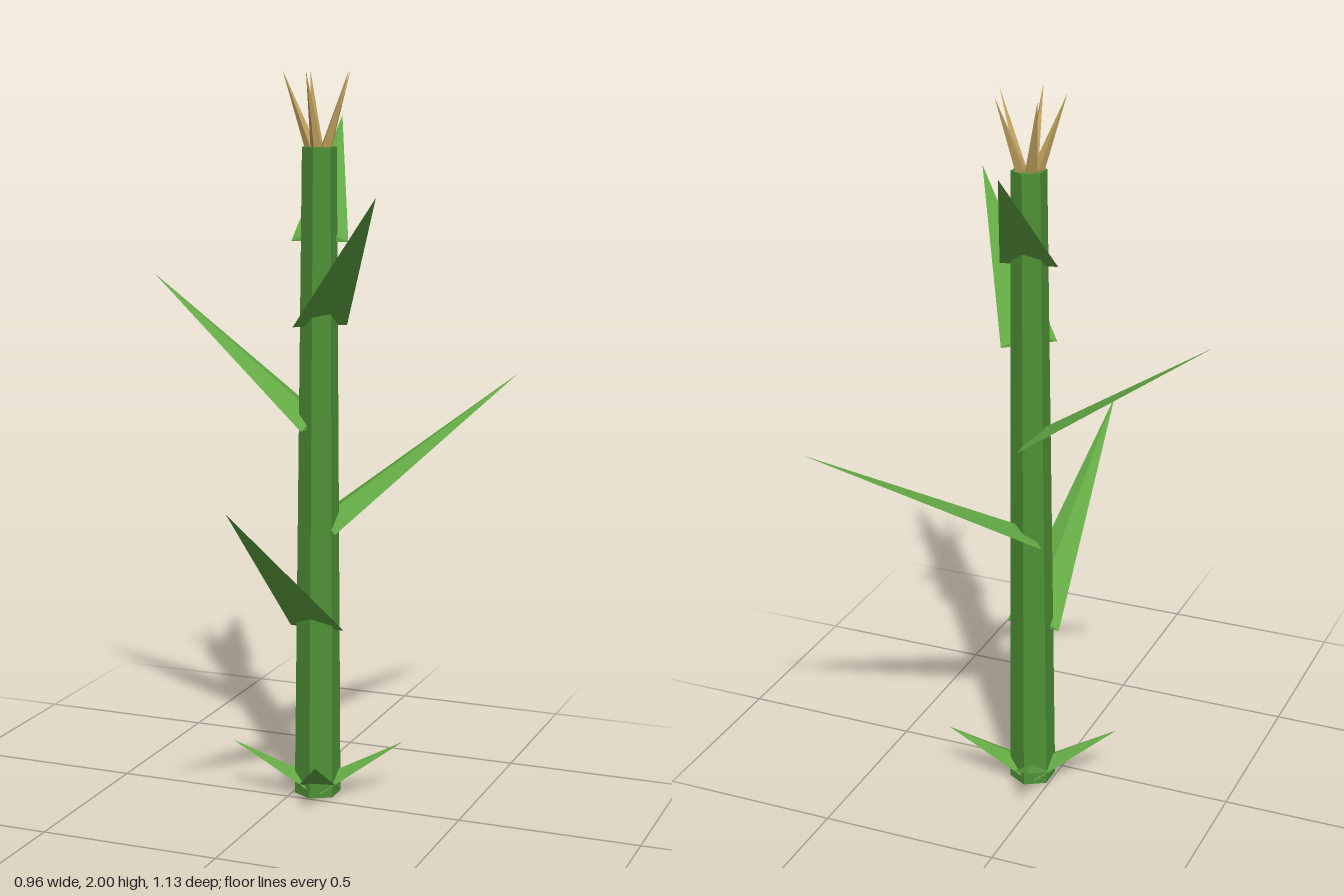
import * as THREE from 'three';

const mat = (name, color) => Object.assign(new THREE.MeshStandardMaterial({ color, flatShading: true }), { name });

// Three-sided blade: flat underside, raised ridge on top, tapering to a point.
// Local frame: base at the origin, tip at (0, rise, reach).
function bladeGeometry(halfWidth, ridge, reach, rise) {
  const left = [halfWidth, 0, 0];
  const right = [-halfWidth, 0, 0];
  const top = [0, ridge, 0];
  const tip = [0, rise, reach];
  const corners = [
    left, top, tip,    // left slope
    top, right, tip,   // right slope
    right, left, tip,  // underside
    right, top, left,  // closed base
  ];
  const geo = new THREE.BufferGeometry();
  geo.setAttribute('position', new THREE.Float32BufferAttribute(corners.flat(), 3));
  geo.computeVertexNormals();
  return geo;
}

export function createModel() {
  const stalkGreen = mat('stalk green', 0x4e9136);
  const leafGreen = mat('leaf green', 0x62a844);
  const tasselTan = mat('tassel tan', 0xc6a662);

  const model = new THREE.Group();
  model.name = 'cornStalk';
  const plant = new THREE.Group();
  plant.name = 'plant';
  plant.position.set(0.0625, 0, -0.069);
  model.add(plant);

  const add = (name, geo, material) => {
    const mesh = new THREE.Mesh(geo, material);
    mesh.name = name;
    plant.add(mesh);
    return mesh;
  };

  // Six-sided tapering stalk
  const stalk = add('stalk', new THREE.CylinderGeometry(0.047, 0.065, 1.8, 6), stalkGreen);
  stalk.position.y = 0.9;

  // Blade whose base sits near the stalk axis and whose tip is at the given offset
  const addBlade = (name, baseY, x, tipY, z, halfWidth, offset) => {
    const angle = Math.atan2(x, z);
    const reach = Math.hypot(x, z) - offset;
    const blade = add(name, bladeGeometry(halfWidth, 0.032, reach, tipY - baseY), leafGreen);
    blade.rotation.y = angle;
    blade.position.set(Math.sin(angle) * offset, baseY, Math.cos(angle) * offset);
  };

  // Long leaves spiralling up the stalk: base height, then tip offset
  [
    [0.478, 0, 0.93, 0.632],
    [0.755, 0.415, 1.14, -0.502],
    [1.04, -0.54, 1.43, -0.103],
    [1.32, 0.275, 1.695, 0.319],
    [1.547, -0.055, 1.87, -0.319],
  ].forEach(([baseY, x, tipY, z], i) => addBlade(`leaf${i + 1}`, baseY, x, tipY, z, 0.078, 0.008));

  // Four short leaves at the foot
  for (let i = 0; i < 4; i++) {
    const a = THREE.MathUtils.degToRad(19.5 + i * 90);
    addBlade(`footLeaf${i + 1}`, 0.012, Math.sin(a) * 0.24, 0.15, Math.cos(a) * 0.24, 0.06, 0.008);
  }

  // Five dry spikes fanning out of the top
  const up = new THREE.Vector3(0, 1, 0);
  for (let i = 0; i < 5; i++) {
    const a = (i * Math.PI * 2) / 5;
    const at = (r, y) => new THREE.Vector3(Math.sin(a) * r, y, Math.cos(a) * r);
    const base = at(0.02, 1.79);
    const tip = at(0.098, 2.0);
    const dir = tip.clone().sub(base);
    const geo = new THREE.ConeGeometry(0.017, dir.length(), 4);
    geo.rotateY(a);
    const spike = add(`tasselSpike${i + 1}`, geo, tasselTan);
    spike.quaternion.setFromUnitVectors(up, dir.clone().normalize());
    spike.position.copy(base).add(tip).multiplyScalar(0.5);
  }

  return model;
}
